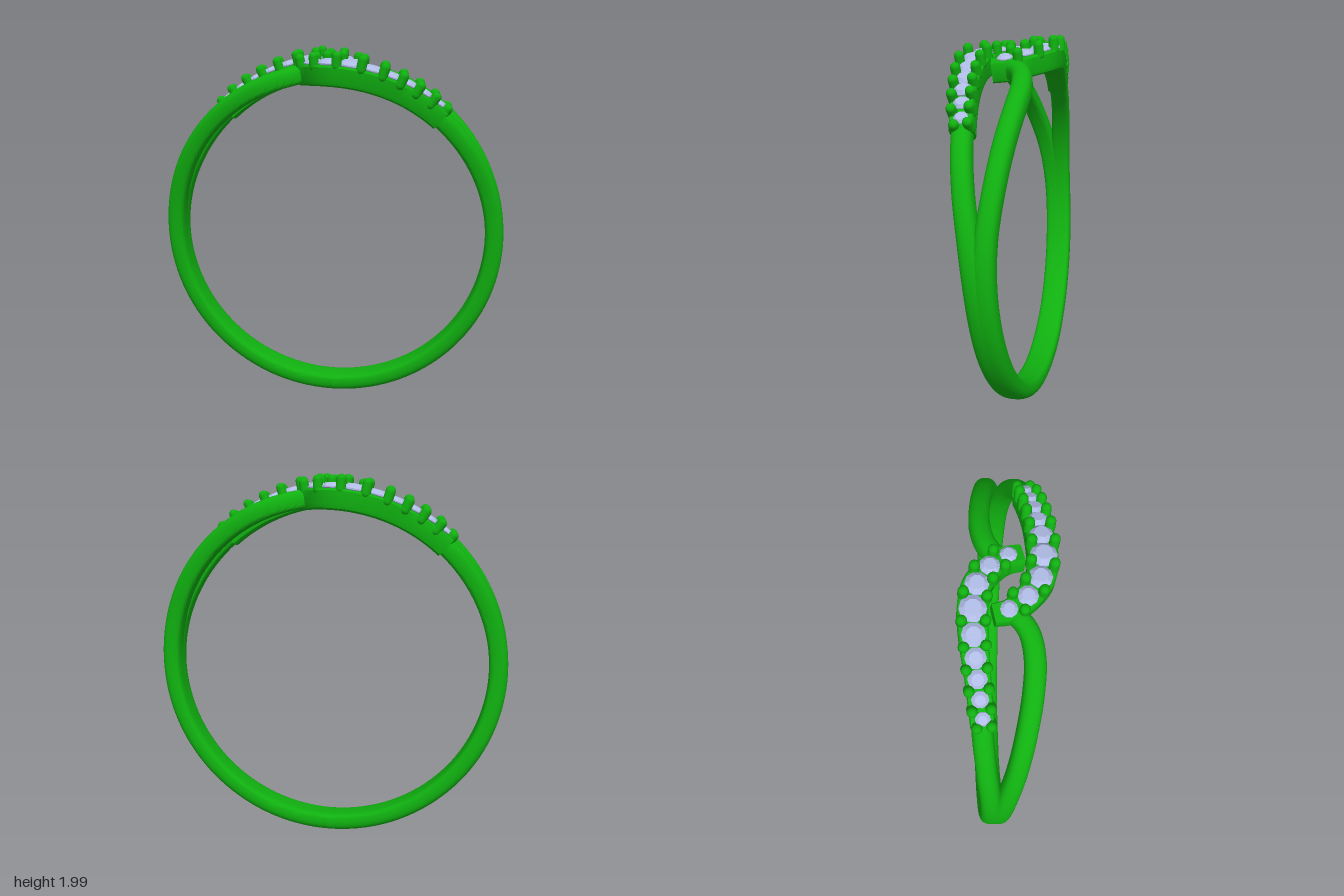
import * as THREE from 'three';
import { toCreasedNormals } from 'three/addons/utils/BufferGeometryUtils.js';

const metal = new THREE.MeshStandardMaterial({ color: 0x10b010 });
const gem = new THREE.MeshStandardMaterial({ color: 0xb0bce6, flatShading: true });
const R = 0.94;

// Point on the ring: s = arc length from the top, w = across the ring, r = radius
const onRing = (s, w, r) => new THREE.Vector3(r * Math.sin(s / R), r * Math.cos(s / R), w);
const outward = (s) => new THREE.Vector3(Math.sin(s / R), Math.cos(s / R), 0);
const arcOfX = (x) => R * Math.asin(x / R);
const arcOfDeg = (d) => R * THREE.MathUtils.degToRad(d);

// Sweep a section [u in -1..1, radius] along stations [s, w, halfWidth]
function sweep(stations, section, steps, crease) {
  const curve = new THREE.CatmullRomCurve3(stations.map((p) => new THREE.Vector3(...p)));
  const pos = [], idx = [], m = section.length;
  for (let i = 0; i <= steps; i++) {
    const t = i / steps;
    const p = curve.getPoint(t);
    const a = curve.getPoint(Math.max(0, t - 0.005)), b = curve.getPoint(Math.min(1, t + 0.005));
    const tangent = onRing(b.x, b.y, R).sub(onRing(a.x, a.y, R));
    const side = outward(p.x).cross(tangent).normalize();
    for (const [u, r] of section) {
      pos.push(...onRing(p.x, p.y, r).addScaledVector(side, u * p.z).toArray());
    }
  }
  for (let i = 0; i < steps; i++) {
    for (let j = 0; j < m; j++) {
      const a = i * m + j, b = i * m + (j + 1) % m;
      idx.push(a, b, a + m, b, b + m, a + m);
    }
  }
  const last = steps * m;
  for (let j = 1; j < m - 1; j++) {
    idx.push(0, j + 1, j, last, last + j, last + j + 1);
  }
  const g = new THREE.BufferGeometry();
  g.setAttribute('position', new THREE.Float32BufferAttribute(pos, 3));
  g.setIndex(idx);
  return toCreasedNormals(g, crease);
}

// Shank section: domed outside, flatter inside
const shankSection = Array.from({ length: 24 }, (_, i) => {
  const a = (i / 24) * Math.PI * 2, c = Math.cos(a), s = Math.sin(a);
  const k = s > 0 ? 0.8 : 0.5;
  return [Math.sign(c) * Math.abs(c) ** k, 0.9 + Math.sign(s) * Math.abs(s) ** k * (s > 0 ? 0.055 : 0.045)];
});
// Band section: box with softened lower edges
const bandSection = [
  [-0.7, 0.845], [0.7, 0.845], [0.92, 0.855], [1, 0.875], [1, 0.945],
  [0.9, 0.955], [-0.9, 0.955], [-1, 0.945], [-1, 0.875], [-0.92, 0.855],
];

// Lower shank, splitting into two strands [degrees from top, w, half width]
const split = [
  [180, 0, 0.075], [150, 0, 0.075], [120, 0.008, 0.068], [90, 0.02, 0.06],
  [75, 0.042, 0.054], [60, 0.075, 0.052], [45, 0.105, 0.052],
];
const hookStrand = [[32, 0.126, 0.052], [22, 0.128, 0.052], [14, 0.098, 0.05], [9.5, 0.04, 0.047], [8, -0.03, 0.045]];
// Jewelled band [x, w, half width]
const band = [
  [0.63, 0.107, 0.058], [0.43, 0.138, 0.062], [0.25, 0.16, 0.07], [0.12, 0.165, 0.073], [0.02, 0.148, 0.07],
  [-0.07, 0.09, 0.062], [-0.135, 0.01, 0.055], [-0.155, -0.07, 0.048],
];
// Stones [x, w, radius]
const stones = [
  [0.59, 0.11, 0.037], [0.515, 0.125, 0.042], [0.435, 0.139, 0.047], [0.35, 0.15, 0.051], [0.252, 0.161, 0.058],
  [0.137, 0.166, 0.066], [0.02, 0.148, 0.058], [-0.072, 0.088, 0.05], [-0.135, 0, 0.042],
];

const gemGeo = new THREE.LatheGeometry(
  [[0.001, -0.6], [1, -0.06], [1, 0.06], [0.62, 0.38], [0.001, 0.38]].map((p) => new THREE.Vector2(...p)), 10);
const prongGeo = new THREE.CapsuleGeometry(0.026, 0.05, 4, 12);
const UP = new THREE.Vector3(0, 1, 0);

function addMesh(parent, name, geometry, material = metal) {
  const mesh = new THREE.Mesh(geometry, material);
  mesh.name = name;
  parent.add(mesh);
  return mesh;
}

function addProngPair(parent, s, w, direction, offset, top) {
  const len = direction.length();
  for (const k of [-1, 1]) {
    const ps = s - k * offset * direction.y / len, pw = w + k * offset * direction.x / len;
    const prong = addMesh(parent, 'prong', prongGeo);
    prong.position.copy(onRing(ps, pw, top - 0.051));
    prong.quaternion.setFromUnitVectors(UP, outward(ps));
  }
}

// Half of the ring: two shank strands and one jewelled band
function createHalf() {
  const half = new THREE.Group();
  half.name = 'ringHalf';
  const toArc = (sign) => ([d, w, h]) => [arcOfDeg(d), sign * w, h];
  addMesh(half, 'frontStrand', sweep([...split, [38, 0.113, 0.05]].map(toArc(1)), shankSection, 90, 0.9));
  addMesh(half, 'backStrand', sweep([...split, ...hookStrand].map(toArc(-1)), shankSection, 120, 0.9));
  addMesh(half, 'jewelledBand', sweep(band.map(([x, w, h]) => [arcOfX(x), w, h]), bandSection, 70, 0.55));

  const seats = stones.map(([x, w, r]) => ({ s: arcOfX(x), w, r }));
  seats.forEach(({ s, w, r }) => {
    const stone = addMesh(half, 'stone', gemGeo, gem);
    stone.position.copy(onRing(s, w, 0.962));
    stone.quaternion.setFromUnitVectors(UP, outward(s));
    stone.scale.setScalar(r);
  });

  // Prongs between neighbouring stones, and a pair at the outer end
  for (let i = 0; i < seats.length - 1; i++) {
    const a = seats[i], b = seats[i + 1], r = (a.r + b.r) / 2;
    const dir = new THREE.Vector2(b.s - a.s, b.w - a.w);
    addProngPair(half, (a.s + b.s) / 2, (a.w + b.w) / 2, dir, 0.024 + r * 0.5, 0.968 + r);
    if (i === 0) addProngPair(half, a.s + 0.038, a.w - 0.008, dir, 0.034, 0.995);
  }
  return half;
}

export function createModel() {
  const model = new THREE.Group();
  model.name = 'ring';
  // Tilted ring of two halves, each the other turned half round
  const tilted = new THREE.Group();
  tilted.name = 'tiltedRing';
  const first = createHalf(), second = createHalf();
  second.rotation.y = Math.PI;
  tilted.add(first, second);
  tilted.rotation.x = 0.083;
  tilted.position.set(0, 0.96, -0.078);
  model.add(tilted);
  return model;
}
